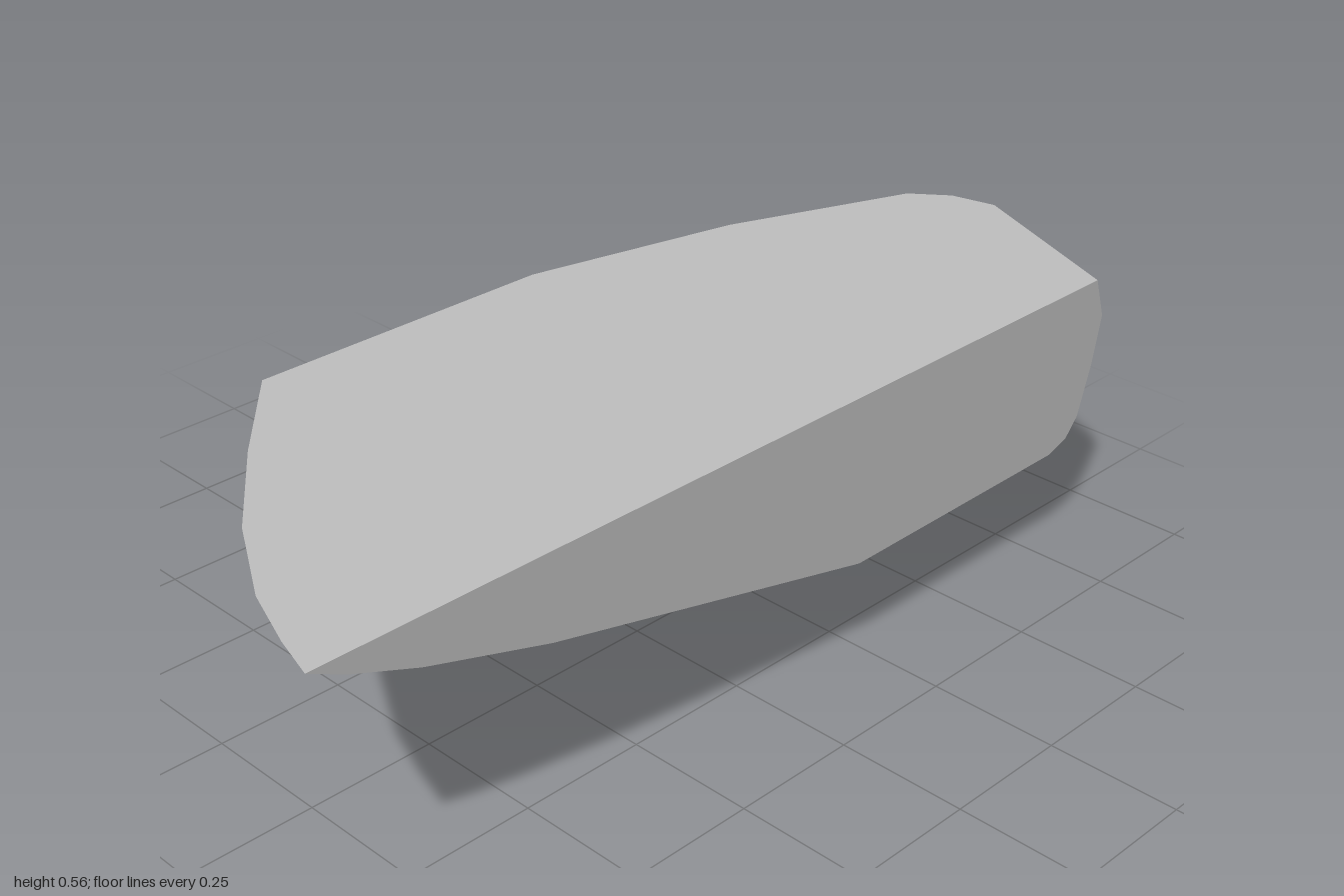
import * as THREE from 'three';
import { ConvexGeometry } from 'three/addons/geometries/ConvexGeometry.js';

const TOP = 0.565, FRONT = 0.375, BACK = -0.375;

export function createModel() {
  const stone = new THREE.MeshStandardMaterial({ color: 0xc0c0c0 });
  stone.name = 'pale grey stone';

  // flat top outline, as x, z
  const top = [[-1, 0.375], [-0.975, 0.29], [-0.93, 0.17], [-0.83, 0], [-0.68, -0.19],
    [-0.515, -0.375], [0.1, -0.375], [0.53, -0.28], [0.9, -0.14], [0.955, -0.07],
    [0.975, 0.02], [0.82, 0.375]];

  // flat front face below the top, as x, y
  const front = [[-0.93, 0.53], [-0.8, 0.48], [-0.55, 0.405], [0.17, 0.235], [0.72, 0.238],
    [0.77, 0.255], [0.8, 0.29], [0.83, 0.39], [0.848, 0.485]];

  // flat back face below the top, as x, y
  const back = [[-0.385, 0.453], [-0.22, 0.335], [0.018, 0.18], [0.23, 0.068], [0.34, 0.022],
    [0.42, 0.002], [0.46, 0], [0.53, 0.009], [0.595, 0.04], [0.64, 0.105], [0.635, 0.205]];

  // faceted rounded end and underside, as x, y, z
  const end = [
    [0.98, 0.39, 0.1], [0.998, 0.39, 0.02], [0.978, 0.39, -0.06], [0.935, 0.39, -0.1],
    [0.86, 0.39, -0.2], [0.95, 0.24, 0.065], [0.96, 0.26, 0], [0.925, 0.245, -0.09],
    [0.83, 0.15, 0.08], [0.86, 0.15, -0.03], [0.74, 0.13, -0.27],
    [0.385, 0.15, 0.26], [0.57, 0.088, 0.12], [0.67, 0.06, 0.02], [0.52, 0.011, -0.27]];

  const points = [
    ...top.map(([x, z]) => new THREE.Vector3(x, TOP, z)),
    ...front.map(([x, y]) => new THREE.Vector3(x, y, FRONT)),
    ...back.map(([x, y]) => new THREE.Vector3(x, y, BACK)),
    ...end.map((p) => new THREE.Vector3(...p))];

  const block = new THREE.Mesh(new ConvexGeometry(points), stone);
  block.name = 'stoneShard';

  const group = new THREE.Group();
  group.name = 'facetedStone';
  group.add(block);
  return group;
}
